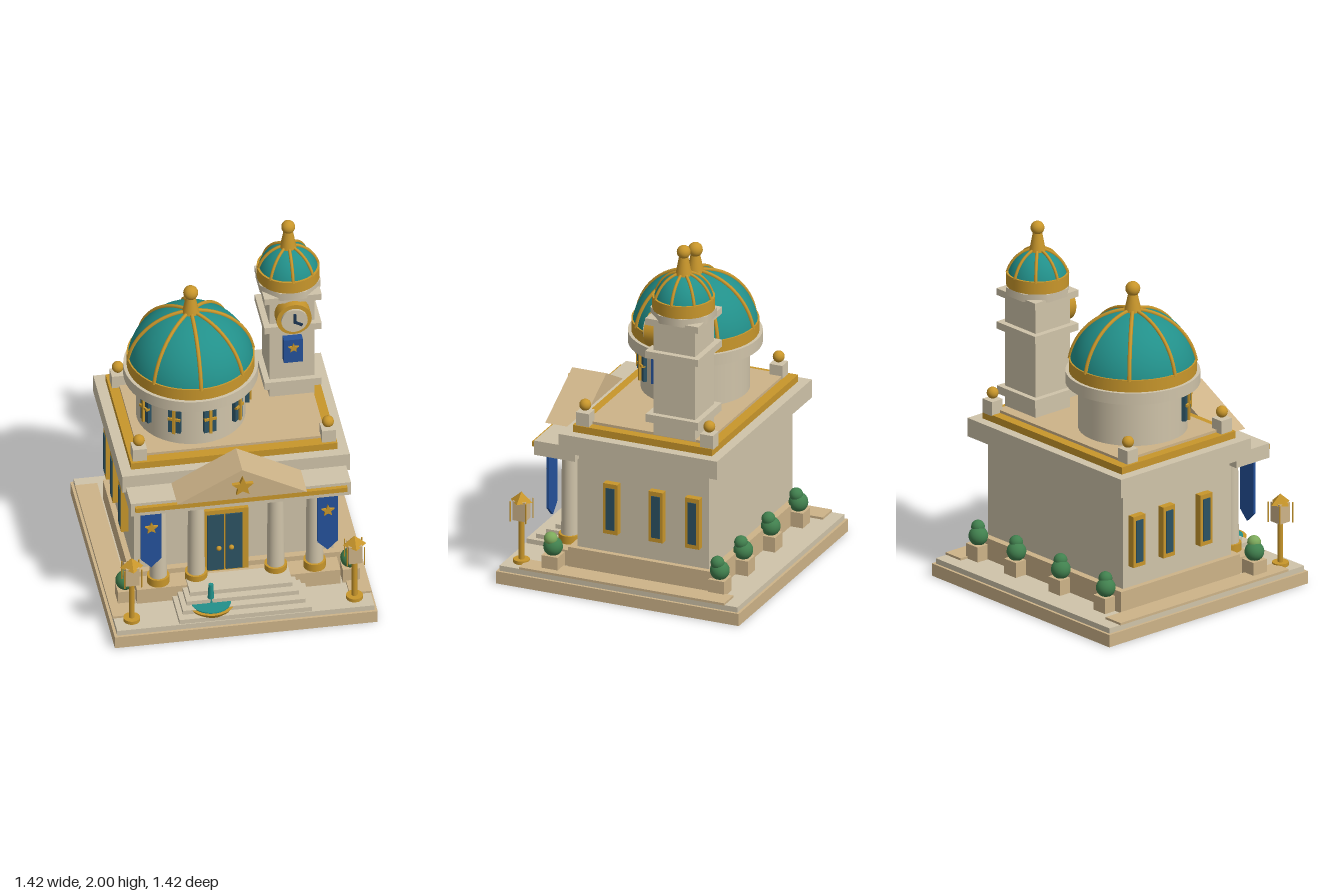
import * as THREE from 'three';

const mat = (name, color) => {
  const m = new THREE.MeshStandardMaterial({ color });
  m.name = name;
  return m;
};
const cream = mat('cream stone', 0xcfc3a9), tan = mat('tan stone', 0xcdb388), gold = mat('gold', 0xc8962b),
  teal = mat('teal', 0x22908a), blue = mat('royal blue', 0x24519a), glass = mat('dark glass', 0x2c5263),
  green = mat('leaf green', 0x41804e), lime = mat('light leaf', 0x7daa5c), navy = mat('clock hand navy', 0x1c3450);

export function createModel() {
  const model = new THREE.Group();
  model.name = 'domedHall';

  const add = (parent, name, geo, m, x = 0, y = 0, z = 0) => {
    const mesh = new THREE.Mesh(geo, m);
    mesh.name = name;
    mesh.position.set(x, y, z);
    parent.add(mesh);
    return mesh;
  };
  const group = (parent, name, x = 0, y = 0, z = 0) => {
    const g = new THREE.Group();
    g.name = name;
    g.position.set(x, y, z);
    parent.add(g);
    return g;
  };
  // Box from ranges
  const box = (parent, name, m, x0, x1, y0, y1, z0, z1) =>
    add(parent, name, new THREE.BoxGeometry(x1 - x0, y1 - y0, z1 - z0), m, (x0 + x1) / 2, (y0 + y1) / 2, (z0 + z1) / 2);
  // Upright cylinder from y0 to y1
  const cyl = (parent, name, m, rTop, rBottom, y0, y1, x = 0, z = 0, seg = 32) =>
    add(parent, name, new THREE.CylinderGeometry(rTop, rBottom, y1 - y0, seg), m, x, (y0 + y1) / 2, z);
  const ball = (parent, name, m, r, x, y, z) => add(parent, name, new THREE.SphereGeometry(r, 20, 14), m, x, y, z);
  const plate = (pts, depth) =>
    new THREE.ExtrudeGeometry(new THREE.Shape(pts.map(p => new THREE.Vector2(p[0], p[1]))), { depth, bevelEnabled: false });
  const star = (parent, r, x, y, z, depth = 0.01) => {
    const pts = [];
    for (let i = 0; i < 10; i++) {
      const a = Math.PI / 2 + i * Math.PI / 5, q = i % 2 ? r * 0.45 : r;
      pts.push([q * Math.cos(a), q * Math.sin(a)]);
    }
    add(parent, 'star', plate(pts, depth), gold, x, y, z);
  };

  // Ground slab, paving and side walks
  box(model, 'groundSlab', tan, -0.71, 0.71, 0, 0.07, -0.71, 0.71);
  box(model, 'paving', cream, -0.695, 0.695, 0.07, 0.1, -0.695, 0.695);
  for (const s of [-1, 1]) {
    add(model, 'sideWalk', new THREE.BoxGeometry(0.12, 0.013, 1.2), tan, s * 0.64, 0.106, -0.02);
  }

  // Main hall, stacked from plinth to roof
  box(model, 'plinth', tan, -0.57, 0.57, 0.1, 0.22, -0.5, 0.35);
  box(model, 'hallWalls', cream, -0.54, 0.54, 0.22, 0.78, -0.46, 0.31);
  box(model, 'cornice', cream, -0.615, 0.615, 0.78, 0.885, -0.54, 0.385);
  box(model, 'goldCourse', gold, -0.558, 0.558, 0.885, 0.925, -0.485, 0.328);
  box(model, 'roof', tan, -0.505, 0.505, 0.9, 0.94, -0.43, 0.27);

  // Roof corner pedestals
  for (const [x, z] of [[-0.507, 0.275], [0.515, 0.275], [-0.507, -0.395], [0.515, -0.45]]) {
    box(model, 'pedestal', cream, x - 0.038, x + 0.038, 0.92, 1.0, z - 0.038, z + 0.038);
    ball(model, 'pedestalBall', gold, 0.032, x, 1.035, z);
  }

  // Side windows
  for (const s of [-1, 1]) for (const z of [0.1, -0.165, -0.378]) {
    add(model, 'windowFrame', new THREE.BoxGeometry(0.05, 0.29, 0.083), gold, s * 0.555, 0.485, z);
    add(model, 'windowPane', new THREE.BoxGeometry(0.008, 0.24, 0.05), glass, s * 0.581, 0.485, z);
  }

  // Portico: floor, steps, columns, beam, pediment
  box(model, 'porticoFloor', tan, -0.55, 0.55, 0.1, 0.19, 0.3, 0.47);
  for (let i = 0; i < 4; i++) {
    const w = 0.358 - i * 0.027;
    box(model, 'step', cream, -w, w, 0.1, 0.127 + i * 0.025, 0.4, 0.69 - i * 0.045);
  }
  for (const x of [-0.425, -0.22, 0.21, 0.42]) {
    const col = group(model, 'column', x, 0, 0.407);
    cyl(col, 'columnBase', gold, 0.06, 0.06, 0.19, 0.235);
    cyl(col, 'columnShaft', cream, 0.043, 0.047, 0.235, 0.69);
    cyl(col, 'columnCapital', gold, 0.06, 0.052, 0.69, 0.73);
  }
  box(model, 'porticoBeam', cream, -0.595, 0.595, 0.73, 0.812, 0.3, 0.537);
  box(model, 'beamStripe', gold, -0.573, 0.573, 0.767, 0.795, 0.53, 0.56);
  add(model, 'pediment', plate([[-0.35, 0.812], [0.35, 0.812], [0, 0.998]], 0.2), tan, 0, 0, 0.383);
  star(model, 0.06, 0, 0.9, 0.58, 0.025);

  // Double door
  box(model, 'doorFrame', gold, -0.185, 0.07, 0.19, 0.587, 0.3, 0.367);
  for (const s of [-1, 1]) {
    const x = -0.058 + s * 0.05;
    box(model, 'doorLeaf', glass, x - 0.045, x + 0.045, 0.2, 0.56, 0.366, 0.374);
    ball(model, 'doorKnob', gold, 0.014, -0.058 + s * 0.034, 0.345, 0.38);
  }

  // Hanging banners
  for (const x of [-0.477, 0.477]) {
    const pts = [[-0.055, 0.73], [-0.055, 0.405], [0, 0.35], [0.055, 0.405], [0.055, 0.73]];
    add(model, 'banner', plate(pts, 0.014), blue, x, 0, 0.48);
    star(model, 0.037, x, 0.613, 0.494, 0.012);
  }

  // Ribbed dome with gold band and finial
  const dome = (parent, name, r, rise, bandHeight, rib, f) => {
    const g = group(parent, name);
    const stretch = rise / r;
    const shell = add(g, 'domeShell', new THREE.SphereGeometry(r, 48, 20, 0, Math.PI * 2, 0, Math.PI / 2), teal);
    shell.scale.y = stretch;
    cyl(g, 'domeBand', gold, r * 1.005, r * 1.005, 0, bandHeight, 0, 0, 48);
    const start = Math.asin(bandHeight * 0.85 / rise);
    for (let i = 0; i < 8; i++) {
      const pts = [];
      for (let k = 0; k <= 10; k++) {
        const a = start + (Math.PI / 2 - start) * k / 10;
        pts.push(new THREE.Vector3((r + 0.003) * Math.cos(a), (rise + 0.003) * Math.sin(a), 0));
      }
      const tube = add(g, 'domeRib', new THREE.TubeGeometry(new THREE.CatmullRomCurve3(pts), 20, rib, 6), gold);
      tube.rotation.y = i * Math.PI / 4;
    }
    cyl(g, 'finialCone', gold, 0.024, 0.05 * f, rise - 0.02, rise + 0.1, 0, 0, 20);
    ball(g, 'finialBall', gold, 0.04 * f, 0, rise + 0.122, 0);
    return g;
  };

  // Main rotunda
  const rotunda = group(model, 'rotunda', -0.17, 0, -0.06);
  cyl(rotunda, 'drum', cream, 0.292, 0.292, 0.94, 1.2, 0, 0, 48);
  cyl(rotunda, 'drumRing', cream, 0.36, 0.36, 1.2, 1.265, 0, 0, 48);
  for (let i = 0; i < 5; i++) {
    const w = group(rotunda, 'drumWindow');
    w.rotation.y = THREE.MathUtils.degToRad(-62 + i * 36);
    box(w, 'drumPane', glass, -0.034, 0.034, 1.02, 1.185, 0.27, 0.312);
    box(w, 'mullion', gold, -0.007, 0.007, 1.02, 1.185, 0.3, 0.325);
    box(w, 'crossbar', gold, -0.034, 0.034, 1.103, 1.117, 0.3, 0.322);
  }
  dome(rotunda, 'mainDome', 0.34, 0.34, 0.068, 0.011, 1).position.y = 1.265;

  // Clock tower
  const tower = group(model, 'clockTower', 0.388, 0, -0.243);
  const tier = (name, w, y0, y1) => box(tower, name, cream, -w, w, y0, y1, -w, w);
  tier('towerShaft', 0.122, 0.93, 1.58);
  tier('towerFoot', 0.153, 1.01, 1.055);
  tier('towerMidCornice', 0.155, 1.38, 1.42);
  tier('towerTopCornice', 0.155, 1.572, 1.61);
  cyl(tower, 'towerCrown', cream, 0.178, 0.178, 1.597, 1.642, 0, 0, 8).rotation.y = Math.PI / 8;
  dome(tower, 'towerDome', 0.167, 0.197, 0.07, 0.009, 0.93).position.y = 1.642;

  // Clock face and hands
  const disc = (name, m, r, z0, z1) =>
    (cyl(tower, name, m, r, r, 0, z1 - z0).rotation.x = Math.PI / 2, tower.children.at(-1).position.set(0, 1.487, (z0 + z1) / 2));
  disc('clockRim', gold, 0.095, 0.11, 0.193);
  disc('clockFace', cream, 0.071, 0.19, 0.207);
  box(tower, 'minuteHand', navy, -0.007, 0.007, 1.48, 1.537, 0.212, 0.221);
  const hour = add(tower, 'hourHand', new THREE.BoxGeometry(0.045, 0.014, 0.009), navy, 0.02, 1.475, 0.216);
  hour.rotation.z = -0.5;
  // Tower banner
  box(tower, 'towerBanner', blue, -0.051, 0.051, 1.187, 1.335, 0.12, 0.168);
  star(tower, 0.03, 0, 1.285, 0.168);

  // Fountain
  const fountain = group(model, 'fountain', -0.17, 0, 0.583);
  cyl(fountain, 'fountainFoot', gold, 0.065, 0.065, 0.1, 0.13);
  cyl(fountain, 'fountainBasin', gold, 0.127, 0.11, 0.122, 0.148);
  cyl(fountain, 'fountainWater', teal, 0.108, 0.108, 0.145, 0.154);
  cyl(fountain, 'waterJet', teal, 0.013, 0.019, 0.15, 0.265, 0, 0, 12);

  // Lamp posts
  for (const s of [-1, 1]) {
    const lamp = group(model, 'lampPost', s * 0.602, 0, 0.608);
    cyl(lamp, 'lampFoot', gold, 0.045, 0.045, 0.1, 0.12, 0, 0, 16);
    cyl(lamp, 'lampPole', gold, 0.015, 0.015, 0.12, 0.35, 0, 0, 12);
    box(lamp, 'lantern', tan, -0.037, 0.037, 0.35, 0.46, -0.037, 0.037);
    for (const x of [-1, 1]) for (const z of [-1, 1]) {
      cyl(lamp, 'lanternBar', gold, 0.004, 0.004, 0.345, 0.46, x * 0.046, z * 0.046, 6);
    }
    const cap = new THREE.ConeGeometry(0.064, 0.055, 4).toNonIndexed();
    cap.computeVertexNormals();
    add(lamp, 'lanternRoof', cap, gold, 0, 0.48, 0);
  }

  // Potted shrubs
  for (const [x, z] of [[-0.605, 0.42], [0.61, 0.42], [-0.475, -0.525], [-0.115, -0.525], [0.24, -0.525], [0.545, -0.525]]) {
    const shrub = group(model, 'pottedShrub', x, 0, z);
    box(shrub, 'pot', tan, -0.047, 0.047, 0.1, 0.185, -0.047, 0.047);
    ball(shrub, 'shrubLower', green, 0.053, 0, 0.228, 0);
    ball(shrub, 'shrubUpper', z > 0 ? lime : green, 0.037, 0.012, 0.275, 0.008);
  }
  return model;
}
